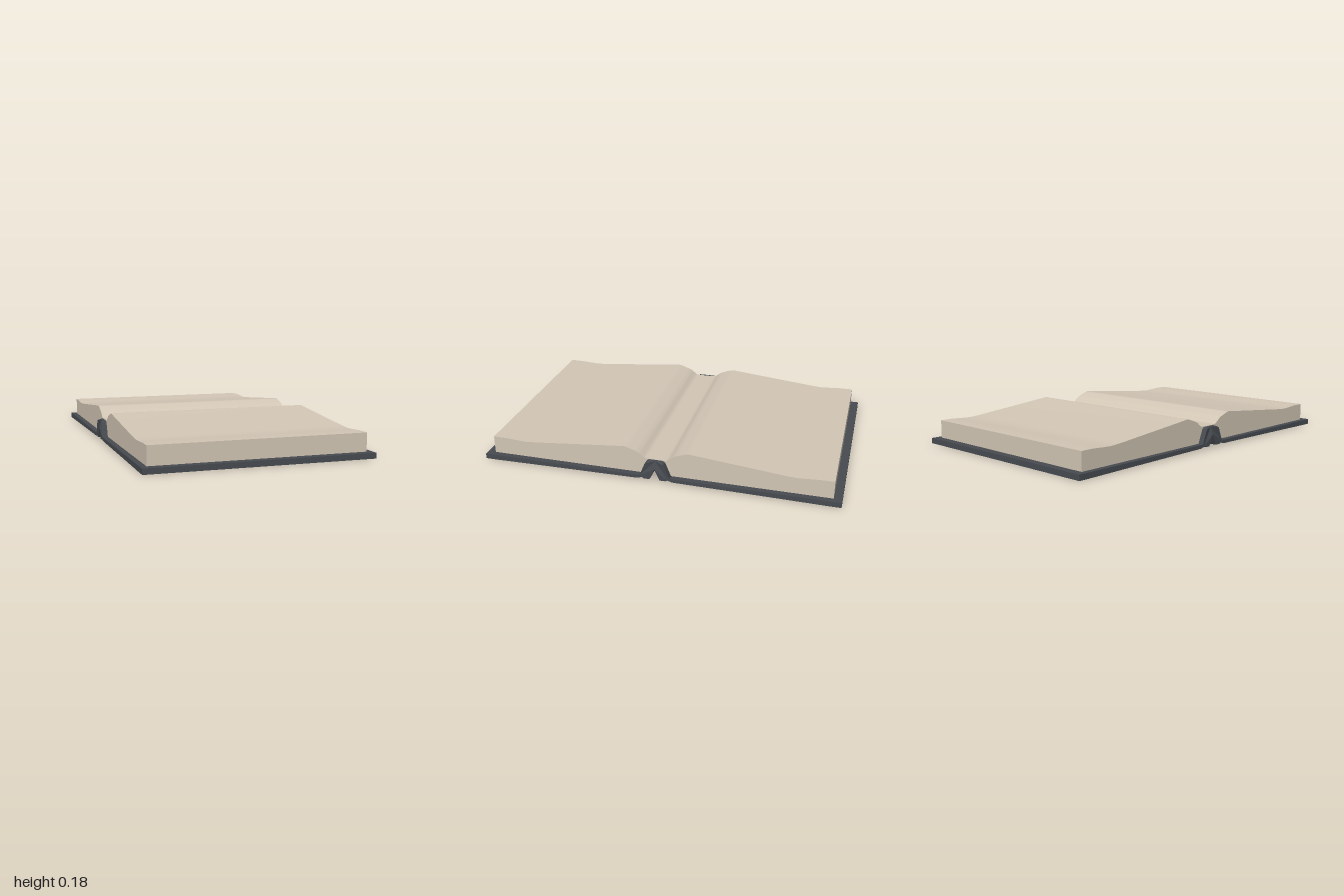
import * as THREE from 'three';
import { toCreasedNormals } from 'three/addons/utils/BufferGeometryUtils.js';

const COVER_HALF_WIDTH = 0.615;
const PAGE_HALF_WIDTH = 0.583;

// Extrudes a (z, y) outline along x, centred on x = 0
function extrudeAcross(points, halfWidth) {
  const shape = new THREE.Shape(points);
  const geometry = new THREE.ExtrudeGeometry(shape, { depth: halfWidth * 2, bevelEnabled: false });
  geometry.translate(0, 0, -halfWidth);
  geometry.rotateY(-Math.PI / 2);
  return geometry;
}

// Closes a front-half outline with its mirror image across z = 0
function mirrored(half) {
  const back = half.filter((p) => p.x > 1e-5).map((p) => new THREE.Vector2(-p.x, p.y));
  return [...half, ...back.reverse()];
}

const toPoints = (list) => list.map(([z, y]) => new THREE.Vector2(z, y));

export function createModel() {
  const book = new THREE.Group();
  book.name = 'openBook';
  const coverMaterial = new THREE.MeshStandardMaterial({ color: 0x474b50 });
  const pageMaterial = new THREE.MeshStandardMaterial({ color: 0xd2c6b5 });

  // Cover boards joined by a folded spine, open underneath
  const coverHalf = toPoints([
    [0, 0.075], [0.028, 0.012], [0.06, 0.012], [0.072, 0.018], [0.1, 0.01],
    [0.65, 0.004], [0.94, 0], [1, 0], [1, 0.03], [0.085, 0.03], [0.08, 0.04],
    [0.056, 0.1], [0.05, 0.11], [0.038, 0.118], [0, 0.118],
  ]);
  const coverGeometry = extrudeAcross(mirrored(coverHalf), COVER_HALF_WIDTH);
  // Chamfer the two ends of the spine's top edge
  const position = coverGeometry.attributes.position;
  for (let i = 0; i < position.count; i++) {
    if (position.getY(i) > 0.115) position.setX(i, Math.sign(position.getX(i)) * 0.598);
  }
  const cover = new THREE.Mesh(toCreasedNormals(coverGeometry, 0.4), coverMaterial);
  cover.name = 'cover';
  book.add(cover);

  // Page block: swelling beside the gutter, then sloping out to the fore edge
  const swell = new THREE.SplineCurve(toPoints([
    [0.2, 0.176], [0.175, 0.177], [0.135, 0.164], [0.1, 0.15], [0.065, 0.124], [0.04, 0.12], [0, 0.12],
  ])).getPoints(24);
  const pageHalf = [
    ...toPoints([
      [0, 0.1], [0.043, 0.1], [0.075, 0.028], [0.955, 0.028], [0.955, 0.13],
      [0.88, 0.13], [0.82, 0.126], [0.76, 0.123], [0.7, 0.127],
    ]),
    ...swell,
  ];
  const pages = new THREE.Mesh(
    toCreasedNormals(extrudeAcross(mirrored(pageHalf), PAGE_HALF_WIDTH), 0.6), pageMaterial);
  pages.name = 'pages';
  book.add(pages);

  return book;
}
